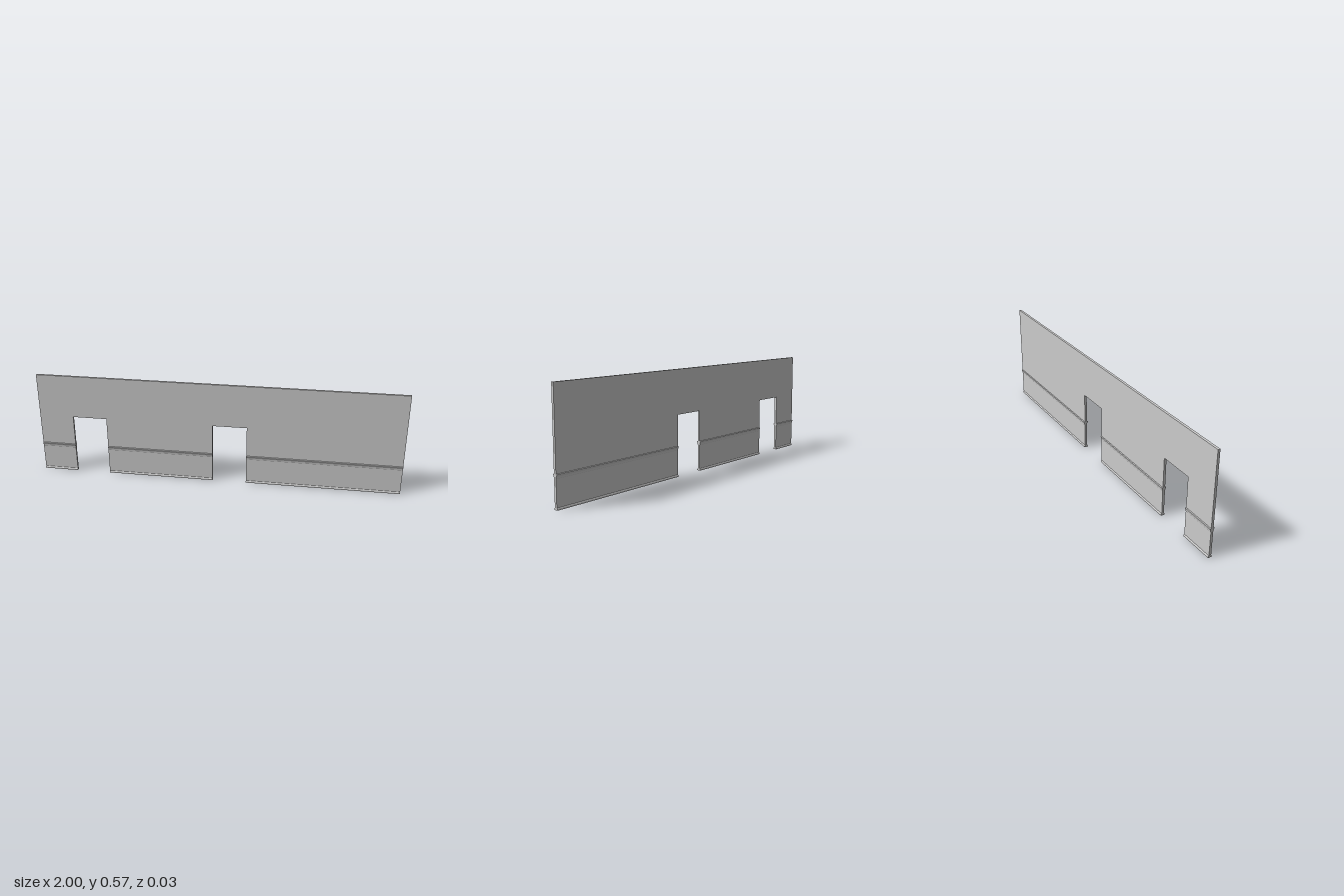
import * as THREE from 'three';

const HEIGHT = 0.573, HALF = 0.0065, DOOR_TOP = 0.333;
const DOORS = [[-0.81, -0.62], [-0.027, 0.16]];
// Wall stretches between the doorways
const RUNS = [[-1, DOORS[0][0]], [DOORS[0][1], DOORS[1][0]], [DOORS[1][1], 1]];

// Moulding profiles: [distance from wall centre, height]
const RAIL = [[HALF, 0.143], [0.0075, 0.145], [0.0085, 0.153], [0.0125, 0.161], [0.0125, 0.164], [HALF, 0.165]];
const SKIRTING = [[HALF, 0], [0.0105, 0], [0.0105, 0.007], [0.0085, 0.01], [HALF, 0.011]];

const toShape = (points) => new THREE.Shape(points.map(([x, y]) => new THREE.Vector2(x, y)));

export function createModel() {
  const model = new THREE.Group();
  const material = new THREE.MeshStandardMaterial({ color: 0xcccccc, flatShading: true });

  const addMesh = (name, geometry) => {
    const mesh = new THREE.Mesh(geometry, material);
    mesh.name = name;
    model.add(mesh);
    return mesh;
  };

  // Wall panel, its lower edge stepping up around each doorway
  const outline = [[-1, 0]];
  for (const [a, b] of DOORS) outline.push([a, 0], [a, DOOR_TOP], [b, DOOR_TOP], [b, 0]);
  outline.push([1, 0], [1, HEIGHT], [-1, HEIGHT]);
  const wall = new THREE.ExtrudeGeometry(toShape(outline), { depth: 2 * HALF, bevelEnabled: false });
  wall.translate(0, 0, -HALF);
  addMesh('wall', wall);

  // Mouldings run along both faces of every stretch
  const addMoulding = (name, profile, [a, b], side) => {
    const geometry = new THREE.ExtrudeGeometry(toShape(profile), { depth: b - a, bevelEnabled: false });
    geometry.translate(0, 0, -(b - a) / 2);
    geometry.rotateY(-side * Math.PI / 2);
    addMesh(name, geometry).position.x = (a + b) / 2;
  };
  for (const run of RUNS) {
    for (const [side, label] of [[1, 'front'], [-1, 'back']]) {
      addMoulding(label + 'ChairRail', RAIL, run, side);
      addMoulding(label + 'Skirting', SKIRTING, run, side);
    }
  }
  return model;
}
